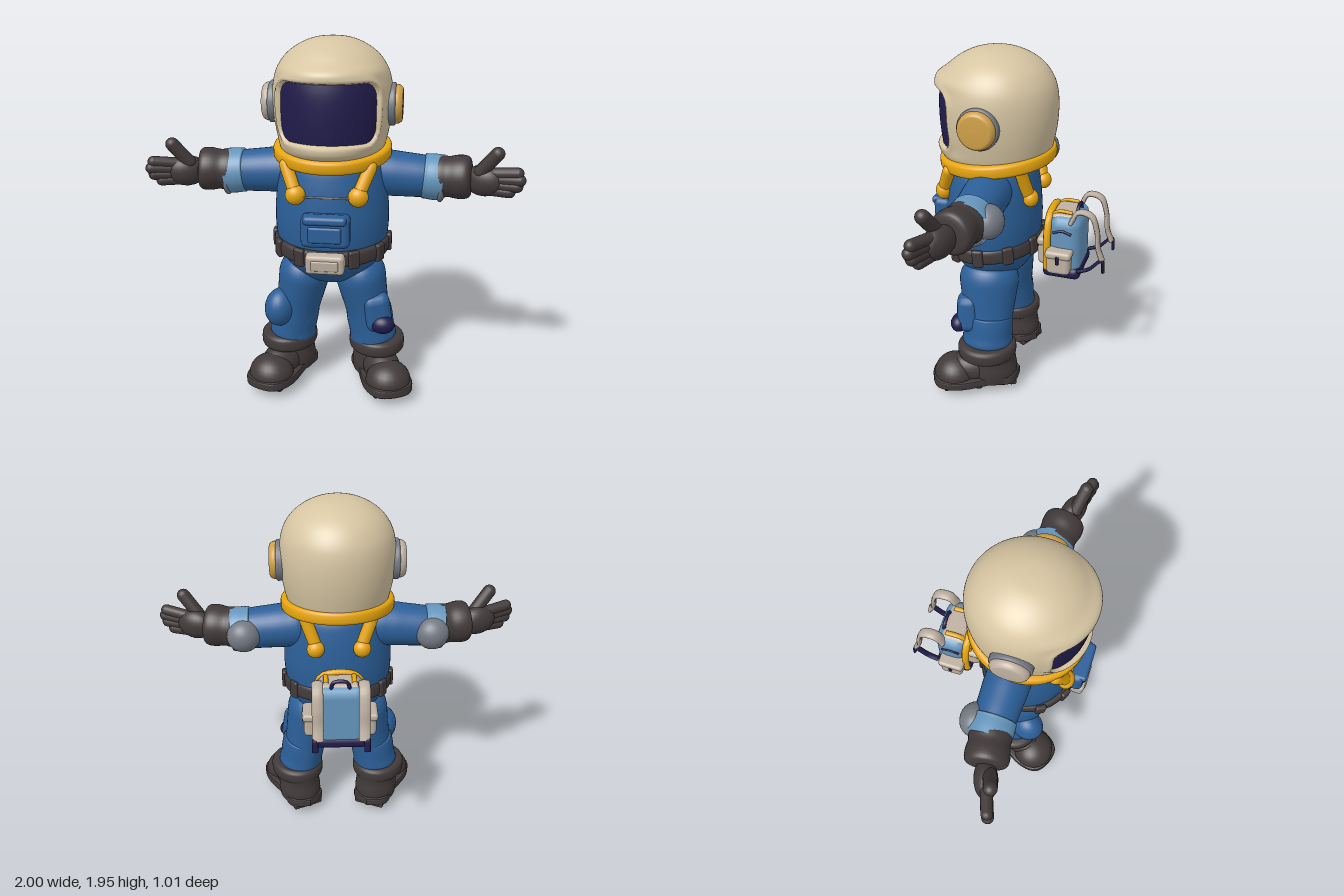
import * as THREE from 'three';
import { mergeVertices } from 'three/addons/utils/BufferGeometryUtils.js';
import { RoundedBoxGeometry } from 'three/addons/geometries/RoundedBoxGeometry.js';

const mat = (name, color) => Object.assign(new THREE.MeshStandardMaterial({ color }), { name });
const V = (p) => new THREE.Vector3(...p);

export function createModel() {
  const cream = mat('helmet cream', 0xd6c5a2);
  const stone = mat('stone canvas', 0xbfb1a2);
  const blue = mat('suit blue', 0x2b5f98);
  const sky = mat('light blue', 0x6596bd);
  const navy = mat('navy', 0x211c4c);
  const yellow = mat('yellow', 0xe8a60f);
  const ochre = mat('ochre', 0xcfa048);
  const dark = mat('dark rubber', 0x423a3a);
  const grey = mat('grey', 0x757a84);

  const root = new THREE.Group();
  root.name = 'astronaut';

  // ---- helpers ----
  const group = (parent, name) => {
    const g = new THREE.Group();
    g.name = name;
    parent.add(g);
    return g;
  };
  const add = (parent, name, geo, material, pos = [0, 0, 0], scale = [1, 1, 1], rot = [0, 0, 0]) => {
    const m = new THREE.Mesh(geo, material);
    m.name = name;
    m.position.set(...pos);
    m.scale.set(...scale);
    m.rotation.set(...rot);
    parent.add(m);
    return m;
  };
  const ball = (parent, name, material, pos, radii, rot) =>
    add(parent, name, new THREE.SphereGeometry(1, 24, 16), material, pos, radii, rot);
  const box = (parent, name, material, pos, size, r = 0.02, rot) =>
    add(parent, name, new RoundedBoxGeometry(...size, 2, r), material, pos, [1, 1, 1], rot);
  // smooth profile [radius, height] from bottom to top, spun around y
  const spin = (profile, detail = 20, sides = 36, start = Math.PI, sweep = Math.PI * 2) => {
    const pts = new THREE.SplineCurve(profile.map((p) => new THREE.Vector2(...p))).getPoints(detail);
    pts.forEach((p) => { p.x = Math.max(0, p.x); });
    return new THREE.LatheGeometry(pts, sides, start, sweep);
  };
  // rounded closed band, centred on its own origin
  const band = (inner, outer, h) => {
    const pts = [];
    const mid = (inner + outer) / 2, w = (outer - inner) / 2;
    const f = (t) => Math.sign(t) * Math.pow(Math.abs(t), 0.6);
    for (let i = 0; i <= 20; i++) {
      const a = -Math.PI / 2 + (i / 20) * Math.PI * 2;
      pts.push(new THREE.Vector2(mid + w * f(Math.cos(a)), (h / 2) * f(Math.sin(a))));
    }
    return new THREE.LatheGeometry(pts, 56);
  };
  const aim = (m, a, b) => {
    m.position.copy(V(a));
    m.quaternion.setFromUnitVectors(new THREE.Vector3(0, 1, 0), V(b).sub(V(a)).normalize());
    return m;
  };
  const rod = (parent, name, material, a, b, r) => {
    const len = V(a).distanceTo(V(b));
    const geo = new THREE.CapsuleGeometry(r, len, 6, 16).translate(0, len / 2, 0);
    return aim(add(parent, name, geo, material), a, b);
  };
  const limb = (parent, name, material, a, b, profile) =>
    aim(add(parent, name, spin(profile, 24), material), a, b);
  const tube = (parent, name, material, pts, r, pos, scale) =>
    add(parent, name, new THREE.TubeGeometry(new THREE.CatmullRomCurve3(pts.map(V)), 28, r, 8), material, pos, scale);

  // ---- helmet: spun shell with a sunken window and a brow ----
  const helmet = group(root, 'helmet');
  helmet.position.z = 0.13;
  const shell = [[0.265, 1.33], [0.285, 1.4], [0.303, 1.5], [0.31, 1.6], [0.304, 1.69], [0.283, 1.76],
    [0.238, 1.825], [0.17, 1.875], [0.09, 1.906], [0, 1.915]];
  let shellGeo = spin(shell, 81, 144);
  shellGeo.deleteAttribute('uv');
  shellGeo.deleteAttribute('normal');
  const p = shellGeo.attributes.position;
  for (let i = 0; i < p.count; i++) {
    const x = p.getX(i), y = p.getY(i), z = p.getZ(i), r = Math.hypot(x, z);
    if (r < 0.02) continue;
    const a = Math.atan2(x, z);
    const qx = Math.abs(0.31 * a) - 0.22, qy = Math.abs(y - 1.567) - 0.077;
    const d = Math.hypot(Math.max(qx, 0), Math.max(qy, 0)) + Math.min(Math.max(qx, qy), 0) - 0.08;
    const front = Math.max(0, Math.cos(a)) ** 2;
    const bump = (c, w) => Math.exp(-(((y - c) / w) ** 2));
    let off = 0.012 * Math.exp(-((d / 0.025) ** 2)) + front * (0.03 * bump(1.765, 0.035) + 0.03 * bump(1.37, 0.04));
    off -= 0.07 * THREE.MathUtils.smoothstep(-d, -0.004, 0.03);
    const k = (r + off) / r;
    p.setXYZ(i, x * k, y, z * k * 1.04);
  }
  shellGeo = mergeVertices(shellGeo, 1e-5);
  shellGeo.computeVertexNormals();
  add(helmet, 'helmetShell', shellGeo, cream);
  add(helmet, 'visor', spin([[0.28, 1.385], [0.289, 1.46], [0.295, 1.56], [0.293, 1.66], [0.28, 1.74]], 20, 48, -1.05, 2.1),
    navy, [0, 0, 0], [1, 1, 1.05]);
  add(helmet, 'collarRing', band(0.23, 0.312, 0.075), yellow, [0, 1.335, 0], [1, 1, 1.02], [0.11, 0, 0]);
  // ear discs
  for (const s of [-1, 1]) {
    const ear = group(helmet, s > 0 ? 'leftEarDisc' : 'rightEarDisc');
    ear.position.set(s * 0.28, 1.575, 0);
    ear.rotation.z = -s * Math.PI / 2;
    add(ear, 'earRing', spin([[0.108, 0], [0.11, 0.025], [0.105, 0.045], [0.06, 0.05], [0, 0.05]]), grey);
    add(ear, 'earCap', spin([[0.1, 0.035], [0.1, 0.06], [0.088, 0.078], [0.07, 0.083], [0, 0.086]]), s > 0 ? ochre : stone);
  }

  // ---- torso, belt and chest gear ----
  const torso = group(root, 'torso');
  add(torso, 'suitBody', spin([[0, 0.6], [0.11, 0.615], [0.2, 0.67], [0.26, 0.75], [0.293, 0.85], [0.305, 0.96],
    [0.3, 1.08], [0.284, 1.2], [0.255, 1.29], [0.18, 1.34], [0, 1.35]], 50, 56), blue, [0, 0, 0.155], [1, 1, 0.86]);
  const belt = group(torso, 'belt');
  belt.position.set(0, 0.835, 0.16);
  belt.rotation.x = 0.08;
  add(belt, 'beltBand', band(0.26, 0.312, 0.085), dark, [0, 0, 0], [1, 1, 0.89]);
  for (const a of [0.48, 1.05, 1.6, 2.2, 2.8]) for (const s of [-1, 1]) {
    box(belt, 'beltLoop', dark, [s * 0.308 * Math.sin(a), 0, 0.274 * Math.cos(a)], [0.06, 0.1, 0.03], 0.012, [0, s * a, 0]);
  }
  box(belt, 'buckle', stone, [0, 0, 0.3], [0.2, 0.105, 0.07], 0.02);
  box(belt, 'buckleInset', stone, [0, 0, 0.332], [0.14, 0.055, 0.02], 0.008);
  box(torso, 'chestPocket', blue, [0, 0.98, 0.43], [0.25, 0.17, 0.1], 0.03);
  box(torso, 'chestPocketFlap', blue, [0, 1.045, 0.455], [0.22, 0.045, 0.08], 0.018);
  box(torso, 'chestPocketPanel', blue, [0, 0.97, 0.475], [0.17, 0.085, 0.03], 0.012);
  box(torso, 'chestSeam', stone, [0, 1.145, 0.408], [0.24, 0.008, 0.009], 0.003);
  for (const s of [-1, 1]) {
    rod(torso, 'frontStrap', yellow, [s * 0.215, 1.29, 0.335], [s * 0.165, 1.17, 0.385], 0.034);
    ball(torso, 'frontKnob', yellow, [s * 0.16, 1.15, 0.39], [0.052, 0.052, 0.045]);
    rod(torso, 'backStrap', yellow, [s * 0.18, 1.32, -0.05], [s * 0.13, 1.18, -0.075], 0.034);
    ball(torso, 'backKnob', yellow, [s * 0.125, 1.15, -0.09], [0.048, 0.048, 0.042]);
  }

  for (const s of [-1, 1]) {
    const side = s > 0 ? 'left' : 'right';
    const at = (x, y, z) => [s * x, y, z];

    // ---- arm and glove ----
    const arm = group(root, side + 'Arm');
    limb(arm, 'sleeve', blue, at(0.18, 1.21, 0.11), at(0.52, 1.185, 0.1),
      [[0, 0], [0.11, 0.01], [0.122, 0.1], [0.118, 0.2], [0.112, 0.3], [0.1, 0.33], [0, 0.34]]);
    limb(arm, 'elbowCuff', sky, at(0.475, 1.19, 0.1), at(0.6, 1.18, 0.1),
      [[0, 0], [0.108, 0.003], [0.12, 0.025], [0.122, 0.09], [0.108, 0.11], [0, 0.112]]);
    ball(arm, 'elbowPad', grey, at(0.515, 1.185, 0.01), [0.092, 0.09, 0.082]);
    ball(arm, 'cuffPatch', grey, at(0.57, 1.14, 0.11), [0.03, 0.085, 0.105]);
    limb(arm, 'gloveCuff', dark, at(0.545, 1.19, 0.105), at(0.74, 1.2, 0.135),
      [[0, 0], [0.1, 0.004], [0.113, 0.03], [0.108, 0.07], [0.116, 0.12], [0.112, 0.165], [0.085, 0.185], [0, 0.19]]);
    ball(arm, 'palm', dark, at(0.79, 1.19, 0.155), [0.105, 0.083, 0.062], [0, -s * 0.35, 0]);
    [[1.145, 0.92, 0.2], [1.18, 0.955, 0.215], [1.215, 0.967, 0.222], [1.25, 0.955, 0.215]].forEach(([y, x, z], i) =>
      rod(arm, 'finger' + (i + 1), dark, at(0.8, 1.145 + i * 0.028, 0.16), at(x, y, z), 0.031));
    rod(arm, 'thumb', dark, at(0.77, 1.24, 0.17), at(0.85, 1.345, 0.2), 0.036);

    // ---- leg ----
    const leg = group(root, side + 'Leg');
    limb(leg, 'trouser', blue, at(0.135, 0.73, 0.145), at(0.24, 0.2, 0.135),
      [[0, 0], [0.1, 0.01], [0.138, 0.08], [0.132, 0.18], [0.12, 0.3], [0.118, 0.42], [0.11, 0.5], [0, 0.51]]).scale.z = 1.2;
    limb(leg, 'shin', blue, at(0.2, 0.43, 0.135), at(0.24, 0.2, 0.135),
      [[0, 0], [0.11, 0.004], [0.127, 0.025], [0.126, 0.12], [0.12, 0.19], [0, 0.2]]).scale.z = 1.08;
    if (s > 0) {
      box(leg, 'kneePanel', blue, [0.255, 0.45, 0.235], [0.15, 0.22, 0.13], 0.05, [0, 0.3, 0.15]);
      ball(leg, 'kneePatch', navy, [0.29, 0.39, 0.278], [0.065, 0.052, 0.05]);
    } else {
      ball(leg, 'kneePad', blue, [-0.28, 0.445, 0.235], [0.085, 0.11, 0.1], [0, -0.3, -0.1]);
    }

    // ---- boot, toes turned outwards ----
    const boot = group(root, side + 'Boot');
    boot.position.set(s * 0.25, 0, 0.13);
    boot.rotation.y = s * 0.42;
    add(boot, 'bootCuff', band(0.06, 0.153, 0.09), dark, [0, 0.225, 0], [1, 1, 1.1]);
    add(boot, 'bootShaft', spin([[0.125, 0.03], [0.13, 0.09], [0.122, 0.16], [0.125, 0.22]]), dark, [0, 0, -0.03], [0.95, 1, 1.1]);
    ball(boot, 'instep', dark, [0, 0.1, 0.08], [0.1, 0.1, 0.15]);
    ball(boot, 'toeCap', dark, [0, 0.07, 0.19], [0.125, 0.105, 0.12]);
    const print = new THREE.Shape(new THREE.SplineCurve([[0, 0.18], [0.095, 0.13], [0.1, 0], [0.125, -0.18], [0.075, -0.295],
      [-0.075, -0.295], [-0.125, -0.18], [-0.1, 0], [-0.095, 0.13], [0, 0.18]].map((q) => new THREE.Vector2(...q))).getPoints(48));
    add(boot, 'sole', new THREE.ExtrudeGeometry(print, { depth: 0.03, bevelSize: 0.01, bevelThickness: 0.01, bevelSegments: 2 }),
      dark, [0, 0.03, 0], [1, 1, 1], [-Math.PI / 2, 0, 0]);
    [-0.14, -0.08, 0.06, 0.12, 0.18, 0.24].forEach((z) =>
      box(boot, 'tread', dark, [0, 0.02, z], [z > 0 ? 0.21 : 0.18, 0.04, 0.04], 0.01));
  }

  // ---- backpack, shoulder straps on its outer face ----
  const pack = group(root, 'backpack');
  box(pack, 'packBody', sky, [0, 0.88, -0.275], [0.28, 0.36, 0.18], 0.06);
  box(pack, 'packBase', navy, [0, 0.725, -0.265], [0.29, 0.07, 0.21], 0.03);
  box(pack, 'packFrontPocket', stone, [0, 0.81, -0.165], [0.2, 0.15, 0.09], 0.03);
  box(pack, 'packFrontFlap', stone, [0, 0.88, -0.165], [0.21, 0.05, 0.1], 0.02);
  box(pack, 'packLid', stone, [0, 1.03, -0.265], [0.22, 0.07, 0.14], 0.03);
  tube(pack, 'packTrim', yellow, [[-0.13, 0.74, 0], [-0.135, 0.95, 0], [-0.09, 1.045, 0], [0.09, 1.045, 0], [0.135, 0.95, 0],
    [0.13, 0.74, 0]], 0.016, [0, 0, -0.185], [1, 1, 1.3]);
  tube(pack, 'packHandle', navy, [[-0.05, 1.04, 0], [-0.035, 1.085, 0], [0.035, 1.085, 0], [0.05, 1.04, 0]], 0.01, [0, 0, -0.33]);
  for (const s of [-1, 1]) {
    box(pack, 'sidePocket', stone, [s * 0.155, 0.8, -0.26], [0.08, 0.12, 0.13], 0.025);
    box(pack, 'sidePocketFlap', stone, [s * 0.16, 0.86, -0.26], [0.085, 0.045, 0.145], 0.018);
    box(pack, 'sidePocketTab', navy, [s * 0.201, 0.835, -0.26], [0.008, 0.05, 0.018], 0.003);
    tube(pack, 'sideCord', navy, [[0, 0.97, -0.32], [0, 0.985, -0.27], [0, 0.97, -0.22]], 0.007, [s * 0.142, 0, 0]);
    tube(pack, 'lidStrap', yellow, [[0, 0.9, -0.178], [0, 1.03, -0.188], [0, 1.068, -0.23], [0, 1.068, -0.31]], 0.009,
      [s * 0.075, 0, 0], [1.5, 1, 1]);
    tube(pack, 'shoulderStrap', stone, [[0, 1.03, -0.31], [0, 1.1, -0.35], [0, 1.09, -0.42], [0, 1, -0.455], [0, 0.9, -0.465],
      [0, 0.83, -0.49]], 0.013, [s * 0.12, 0, 0], [2.3, 1, 1]);
    tube(pack, 'strapTail', navy, [[0, 0.75, -0.36], [0, 0.775, -0.42], [0, 0.84, -0.49], [0, 0.77, -0.5]], 0.009,
      [s * 0.135, 0, 0], [1.8, 1, 1]);
  }
  return root;
}
